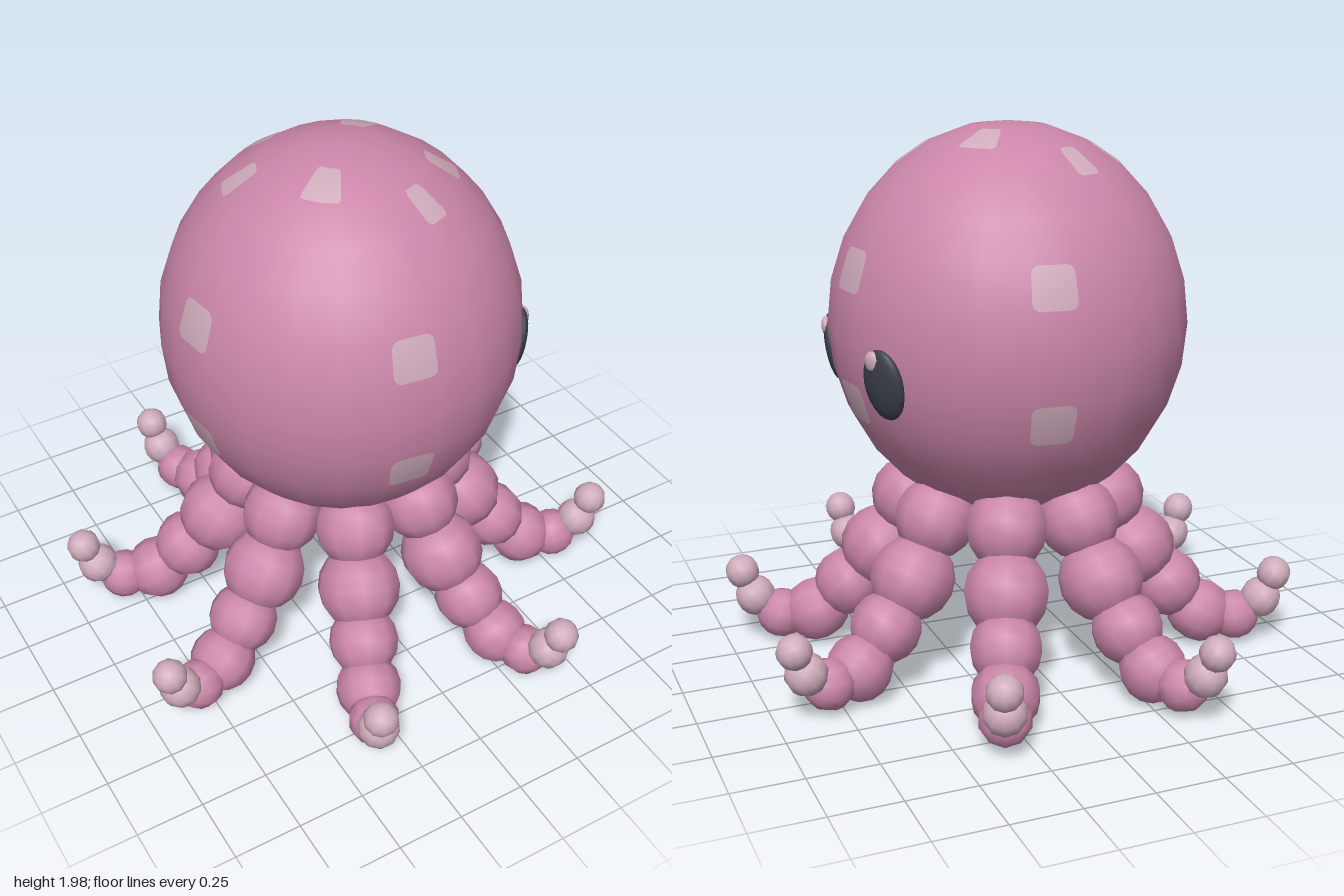
import * as THREE from 'three';

const mat = (name, color) => Object.assign(new THREE.MeshStandardMaterial({ color }), { name });
const HEAD = { y: 1.27, r: 0.65, h: 0.71, cols: 24, rows: 14 };

// Point on the faceted head: column u and row v (rows count up from the equator)
function headPoint(u, v, lift = 1) {
  const at = (c, r) => {
    const a = (c / HEAD.cols) * Math.PI * 2, t = (r / HEAD.rows) * Math.PI;
    return new THREE.Vector3(
      HEAD.r * Math.cos(t) * Math.cos(a), HEAD.h * Math.sin(t), -HEAD.r * Math.cos(t) * Math.sin(a));
  };
  const c = Math.min(Math.floor(u), Math.ceil(u) - 1), r = Math.min(Math.floor(v), Math.ceil(v) - 1);
  const low = at(c, r).lerp(at(c + 1, r), u - c);
  const high = at(c, r + 1).lerp(at(c + 1, r + 1), u - c);
  return low.lerp(high, v - r).multiplyScalar(lift);
}

// Thin round-cornered patch on one head facet; a flat side joins a neighbour
function spotGeometry(col, row, roundLeft = true, roundRight = true) {
  const outline = [];
  const corner = (cu, cv, du, dv, start, rounded) => {
    if (!rounded) { outline.push([cu, cv]); return; }
    for (let i = 0; i <= 3; i++) {
      const a = start + (i / 3) * Math.PI / 2, k = 0.18;
      outline.push([cu + du * k + k * Math.cos(a), cv + dv * k + k * Math.sin(a)]);
    }
  };
  const lo = 0.02, hi = 0.98;
  const left = roundLeft ? lo : 0, right = roundRight ? hi : 1;
  corner(left, lo, 1, 1, Math.PI, roundLeft);
  corner(right, lo, -1, 1, Math.PI * 1.5, roundRight);
  corner(right, hi, -1, -1, 0, roundRight);
  corner(left, hi, 1, -1, Math.PI / 2, roundLeft);

  const pos = [], nor = [], index = [];
  [[0.5, 0.5], ...outline].forEach(([u, v]) => {
    const p = headPoint(col + Math.min(Math.max(u, 0.001), 0.999), row + v, 1.004);
    pos.push(p.x, p.y, p.z);
    const n = new THREE.Vector3(p.x / HEAD.r ** 2, p.y / HEAD.h ** 2, p.z / HEAD.r ** 2).normalize();
    nor.push(n.x, n.y, n.z);
  });
  for (let i = 0; i < outline.length; i++) index.push(0, i + 1, ((i + 1) % outline.length) + 1);
  const g = new THREE.BufferGeometry();
  g.setAttribute('position', new THREE.Float32BufferAttribute(pos, 3));
  g.setAttribute('normal', new THREE.Float32BufferAttribute(nor, 3));
  g.setIndex(index);
  return g;
}

export function createModel() {
  const skin = mat('pink skin', 0xcb86a9);
  const pale = mat('pale pink', 0xcfabbb);
  const dark = mat('dark eye', 0x3b3f48);
  const model = new THREE.Group();
  model.name = 'octopus';

  const add = (parent, name, geometry, material) => {
    const m = new THREE.Mesh(geometry, material);
    m.name = name;
    parent.add(m);
    return m;
  };

  // Head
  const head = new THREE.Group();
  head.name = 'head';
  head.position.y = HEAD.y;
  model.add(head);
  add(head, 'skull', new THREE.SphereGeometry(1, HEAD.cols, HEAD.rows), skin)
    .scale.set(HEAD.r, HEAD.h, HEAD.r);

  // Spots: four columns around the sides, then a ring near the crown
  for (const col of [0, 5, 12, 17]) {
    for (const row of [1, -2]) add(head, 'sideSpot', spotGeometry(col, row), pale);
  }
  for (const col of [7, 10, 19, 22]) add(head, 'upperSpot', spotGeometry(col, 4), pale);
  for (const col of [2, 14]) {
    add(head, 'crownSpot', spotGeometry(col, 5, true, false), pale);
    add(head, 'crownSpot', spotGeometry(col + 1, 5, false, true), pale);
  }

  // Eyes look along +x
  for (const side of [1, -1]) {
    const yaw = Math.PI / 2 - side * 0.47;
    const eye = add(model, side > 0 ? 'leftEye' : 'rightEye', new THREE.SphereGeometry(1, 16, 12), dark);
    eye.scale.set(0.09, 0.128, 0.035);
    eye.position.set(0.565, 1.147, side * 0.29);
    eye.rotation.set(0.17, yaw, 0, 'YXZ');
    const glint = add(model, 'eyeGlint', new THREE.SphereGeometry(1, 10, 8), pale);
    glint.scale.set(0.038, 0.042, 0.022);
    glint.position.set(0.597, 1.225, side * 0.28);
    glint.rotation.set(0.17, yaw, 0, 'YXZ');
  }

  // Tentacle beads: distance out, height, radius
  const beads = [
    [0.36, 0.59, 0.15], [0.475, 0.39, 0.155], [0.605, 0.24, 0.13], [0.73, 0.125, 0.122],
    [0.865, 0.107, 0.094], [0.963, 0.178, 0.077], [1.01, 0.275, 0.064],
  ];
  const unit = new THREE.SphereGeometry(1, 10, 8);
  for (let k = 0; k < 8; k++) {
    const arm = new THREE.Group();
    arm.name = 'tentacle' + (k + 1);
    arm.rotation.y = Math.PI / 8 + k * Math.PI / 4;
    beads.forEach(([x, y, r], i) => {
      const a = beads[Math.max(i - 1, 0)], b = beads[Math.min(i + 1, beads.length - 1)];
      const bead = add(arm, i > 4 ? 'tentacleTip' : 'tentacleBead', unit, i > 4 ? pale : skin);
      bead.position.set(x, y, 0);
      bead.scale.setScalar(r);
      bead.rotation.z = Math.atan2(b[1] - a[1], b[0] - a[0]) - Math.PI / 2;
    });
    model.add(arm);
  }
  return model;
}
